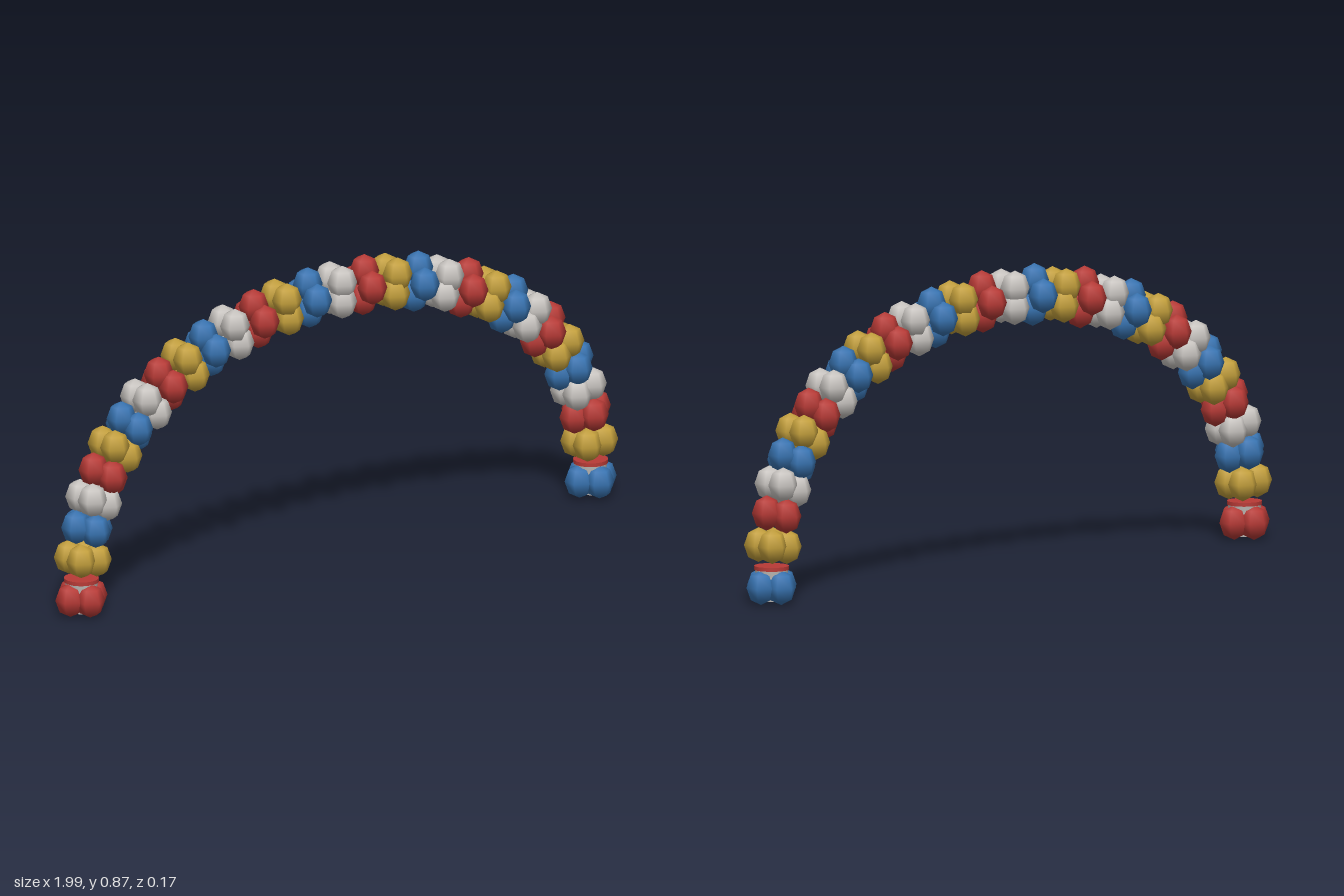
import * as THREE from 'three';

export function createModel() {
  const mat = (name, color) => {
    const m = new THREE.MeshStandardMaterial({ color });
    m.name = name;
    return m;
  };
  const red = mat('red', 0xb83a36);
  const gold = mat('gold', 0xc4a03c);
  const blue = mat('blue', 0x3874b2);
  const white = mat('white', 0xcac6c2);
  const cycle = [red, gold, blue, white];

  const model = new THREE.Group();
  model.name = 'balloonArch';

  const COUNT = 31, HALF_SPAN = 0.92, BASE_Y = 0.05, RISE = 0.735, RING = 0.04;

  // Centre line of the arch: a slightly squared half ellipse
  const archPoint = (t) => {
    const c = Math.cos(Math.PI * t), s = Math.max(0, Math.sin(Math.PI * t));
    return new THREE.Vector3(
      -Math.sign(c) * HALF_SPAN * Math.pow(Math.abs(c), 0.985),
      BASE_Y + RISE * Math.pow(s, 0.82), 0);
  };

  // One upright low-sided balloon, shared by every cluster
  const balloonGeo = new THREE.SphereGeometry(0.043, 6, 4);
  balloonGeo.rotateY(Math.PI / 2);
  balloonGeo.scale(1, 0.05 / 0.043, 1);

  // Clusters of four balloons ringed around the centre line, alternately turned
  for (let i = 0; i < COUNT; i++) {
    const t = i / (COUNT - 1);
    const centre = archPoint(t);
    const tangent = archPoint(Math.min(1, t + 0.01)).sub(archPoint(Math.max(0, t - 0.01))).normalize();
    if (i === 0 || i === COUNT - 1) tangent.set(0, 1, 0);
    const out = new THREE.Vector3(-tangent.y, tangent.x, 0);
    const cluster = new THREE.Group();
    cluster.name = 'balloonCluster' + (i + 1);
    cluster.position.copy(centre);
    for (let k = 0; k < 4; k++) {
      const a = k * Math.PI / 2 + (i % 2) * Math.PI / 4;
      const balloon = new THREE.Mesh(balloonGeo, cycle[i % 4]);
      balloon.name = 'balloon';
      balloon.position.copy(out).multiplyScalar(RING * Math.cos(a));
      balloon.position.z = RING * Math.sin(a);
      cluster.add(balloon);
    }
    model.add(cluster);
  }

  // Tapered weight with a red lid inside each foot
  for (const side of [-1, 1]) {
    const foot = new THREE.Group();
    foot.name = side > 0 ? 'leftFoot' : 'rightFoot';
    foot.position.x = side * HALF_SPAN;
    const bucket = new THREE.Mesh(new THREE.CylinderGeometry(0.048, 0.028, 0.09, 16), white);
    bucket.name = 'bucket';
    bucket.position.y = 0.053;
    const lid = new THREE.Mesh(new THREE.CylinderGeometry(0.05, 0.05, 0.011, 16), red);
    lid.name = 'lid';
    lid.position.y = 0.1035;
    foot.add(bucket, lid);
    model.add(foot);
  }

  return model;
}
